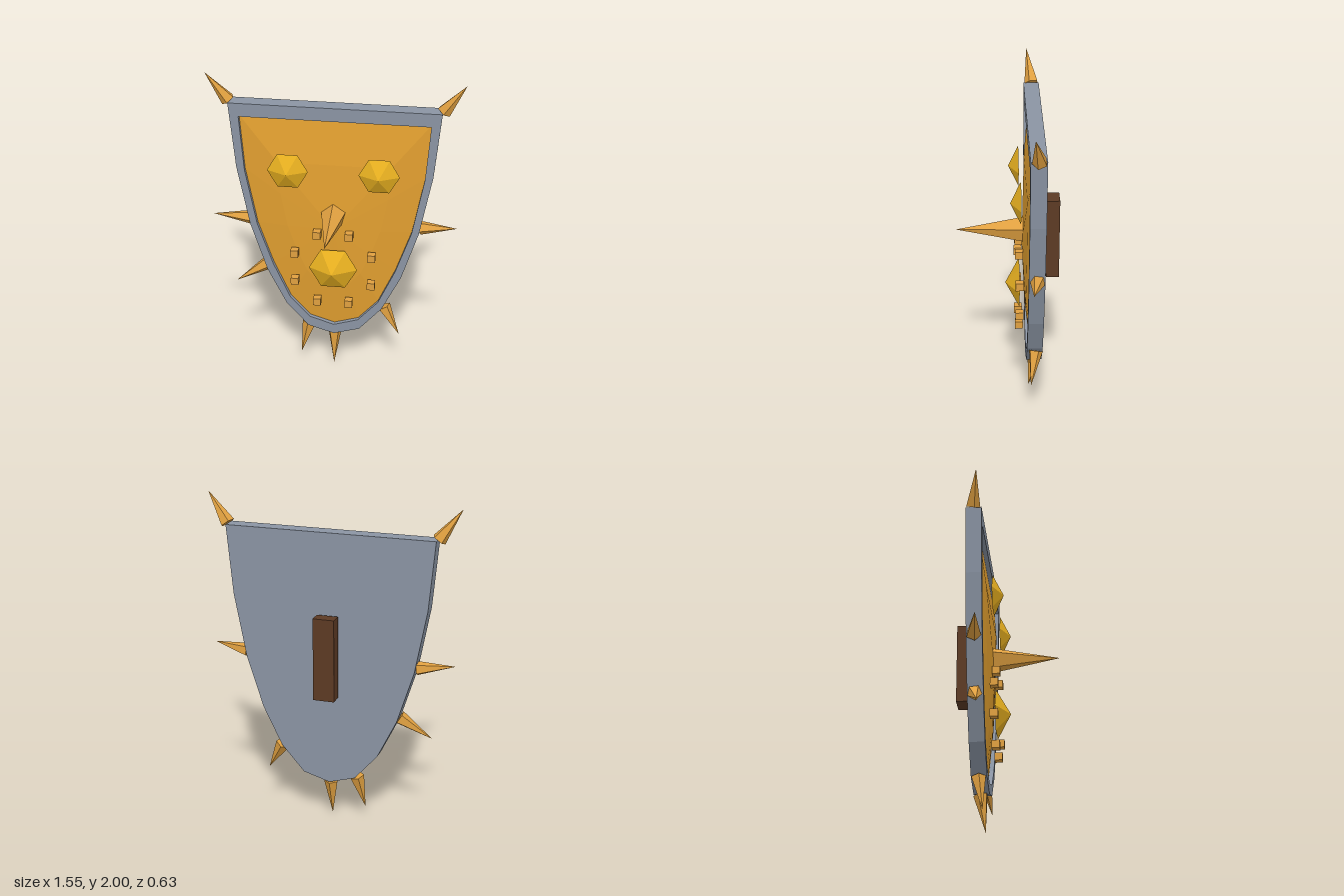
import * as THREE from 'three';

const mat = (color, extra = {}) => new THREE.MeshStandardMaterial({ color, flatShading: true, ...extra });
const V = (x, y, z) => new THREE.Vector3(x, y, z);

// Mirrors a right-hand edge (top to bottom, ending on x = 0) into a counter-clockwise outline
function mirrored(half) {
  const left = half.slice(0, -1).map(([x, y]) => [-x, y]);
  const right = half.slice().reverse();
  return [...left, ...right].map(([x, y]) => new THREE.Vector2(x, y));
}

// Domed sheet: rings of the outline shrinking towards a centre point
function domeGeometry(outline, cy, rings) {
  const pos = [];
  const n = outline.length;
  const at = (i, [t, z]) => [outline[i % n].x * t, cy + (outline[i % n].y - cy) * t, z];
  for (let r = 0; r < rings.length - 1; r++) {
    for (let i = 0; i < n; i++) {
      const a = at(i, rings[r]), b = at(i + 1, rings[r]);
      const c = at(i, rings[r + 1]), d = at(i + 1, rings[r + 1]);
      pos.push(...c, ...d, ...b);
      if (rings[r][0] > 0) pos.push(...c, ...b, ...a);
    }
  }
  const g = new THREE.BufferGeometry();
  g.setAttribute('position', new THREE.Float32BufferAttribute(pos, 3));
  g.computeVertexNormals();
  return g;
}

export function createModel() {
  const model = new THREE.Group();
  model.name = 'spikedShield';
  const steel = mat(0x8a94a3), gold = mat(0xe0a040), bossGold = mat(0xe8b020), wood = mat(0x5c3a24);
  const panelGold = mat(0xe3a030, { side: THREE.DoubleSide });

  const add = (name, geometry, material, x = 0, y = 0, z = 0) => {
    const mesh = new THREE.Mesh(geometry, material);
    mesh.name = name;
    mesh.position.set(x, y, z);
    model.add(mesh);
    return mesh;
  };

  const outer = mirrored([[0.64, 1.82], [0.6, 1.4], [0.525, 1.01], [0.423, 0.69], [0.305, 0.45], [0.163, 0.288], [0, 0.24]]);
  const inner = mirrored([[0.577, 1.735], [0.55, 1.38], [0.48, 1.01], [0.385, 0.73], [0.28, 0.495], [0.154, 0.355], [0, 0.307]]);

  // Back plate and raised rim
  const extrude = (shape, depth) => new THREE.ExtrudeGeometry(shape, { depth, bevelEnabled: false });
  add('backPlate', extrude(new THREE.Shape(outer), 0.057), steel, 0, 0, -0.212);
  const rim = new THREE.Shape(outer);
  rim.holes.push(new THREE.Path(inner.slice().reverse()));
  add('rim', extrude(rim, 0.038), steel, 0, 0, -0.155);

  // Bulging front panel
  add('frontPanel', domeGeometry(inner, 1.02, [[0, -0.09], [0.6, -0.112], [1, -0.145]]), panelGold);

  // Six-sided bosses
  const boss = (name, x, y, r, h) => {
    const g = new THREE.ConeGeometry(r, h, 6).rotateY(Math.PI / 6).rotateX(Math.PI / 2);
    add(name, g, bossGold, x, y, -0.076 + h / 2);
  };
  for (const s of [1, -1]) boss(s > 0 ? 'leftBoss' : 'rightBoss', 0.278 * s, 1.412, 0.125, 0.063);
  boss('lowerBoss', 0, 0.748, 0.152, 0.086);

  // Ring of square studs around the lower boss
  for (let i = 0; i < 8; i++) {
    const a = (i + 0.5) * Math.PI / 4;
    add('stud', new THREE.BoxGeometry(0.048, 0.048, 0.048), gold, 0.26 * Math.cos(a), 0.75 + 0.26 * Math.sin(a), -0.072);
  }

  // Long central spike
  const horn = new THREE.ConeGeometry(0.08, 0.415, 5).rotateY(Math.PI + 0.05).rotateX(Math.PI / 2);
  add('centralSpike', horn, gold, 0, 1.113, 0.103);

  // Spikes around the edge: base x, y and tip x, y
  const edgeSpikes = [
    [-0.645, 1.82, -0.775, 2], [0.645, 1.82, 0.775, 2],
    [-0.53, 1.03, -0.757, 1.055], [0.53, 1.03, 0.757, 1.055],
    [-0.43, 0.705, -0.625, 0.58], [0.315, 0.44, 0.418, 0.255],
    [-0.165, 0.285, -0.213, 0.07], [0, 0.235, 0, 0],
  ];
  for (const [bx, by, tx, ty] of edgeSpikes) {
    const base = V(bx, by, -0.168), tip = V(tx, ty, -0.138);
    const dir = tip.clone().sub(base);
    const mid = base.clone().add(tip).multiplyScalar(0.5);
    const spike = add('edgeSpike', new THREE.ConeGeometry(0.045, dir.length(), 5), gold, mid.x, mid.y, mid.z);
    spike.quaternion.setFromUnitVectors(V(0, 1, 0), dir.normalize());
  }

  // Grip behind the plate
  add('handle', new THREE.BoxGeometry(0.13, 0.51, 0.08), wood, 0, 1.07, -0.278);

  return model;
}
